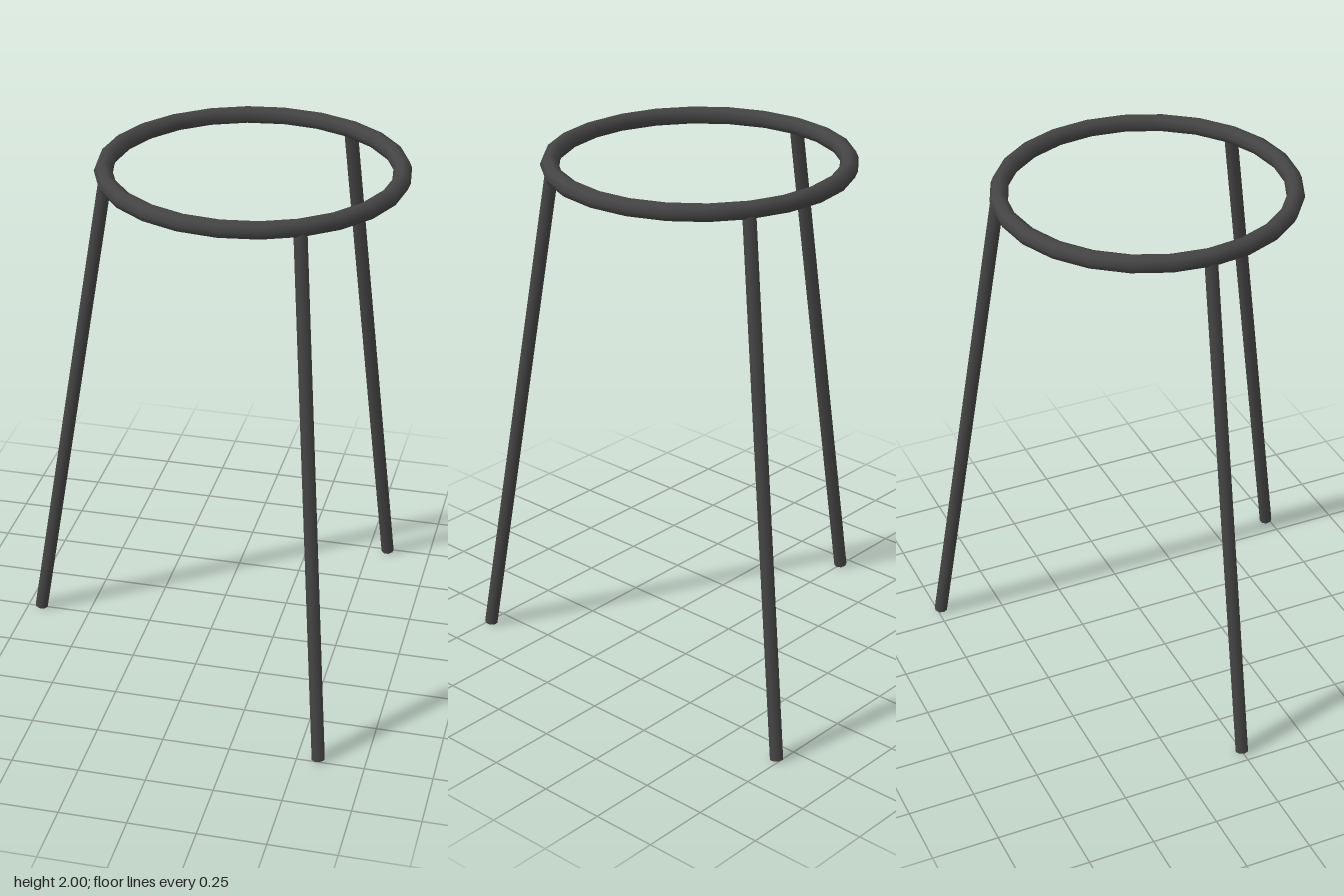
import * as THREE from 'three';

export function createModel() {
  const stand = new THREE.Group();
  stand.name = 'tripodStand';
  const metal = new THREE.MeshStandardMaterial({ color: 0x444444 });

  const ringRadius = 0.53, tubeRadius = 0.033, legRadius = 0.025;
  const ringY = 2 - tubeRadius, footRadius = 0.85, footY = 0.004;

  // Top ring, with a vertex of the 24-sided loop on each axis
  const ring = new THREE.Mesh(new THREE.TorusGeometry(ringRadius, tubeRadius, 8, 24), metal);
  ring.name = 'topRing';
  ring.rotation.x = -Math.PI / 2;
  ring.position.y = ringY;
  stand.add(ring);

  // Three splayed legs, running from the ring's centre line to the floor
  const up = new THREE.Vector3(0, 1, 0);
  const top = new THREE.Vector3(-ringRadius, ringY, 0);
  const foot = new THREE.Vector3(-footRadius, footY, 0);
  const axis = top.clone().sub(foot);
  const legGeometry = new THREE.CylinderGeometry(legRadius, legRadius, axis.length(), 8);
  for (let i = 0; i < 3; i++) {
    const leg = new THREE.Group();
    leg.name = `leg${i + 1}`;
    const rod = new THREE.Mesh(legGeometry, metal);
    rod.name = 'legRod';
    rod.quaternion.setFromUnitVectors(up, axis.clone().normalize());
    rod.position.copy(top).add(foot).multiplyScalar(0.5);
    leg.add(rod);
    leg.rotation.y = (i * Math.PI * 2) / 3;
    stand.add(leg);
  }

  // One leg points to -x, so the ring sits off centre
  stand.position.x = 0.153;
  const model = new THREE.Group();
  model.name = 'model';
  model.add(stand);
  return model;
}
